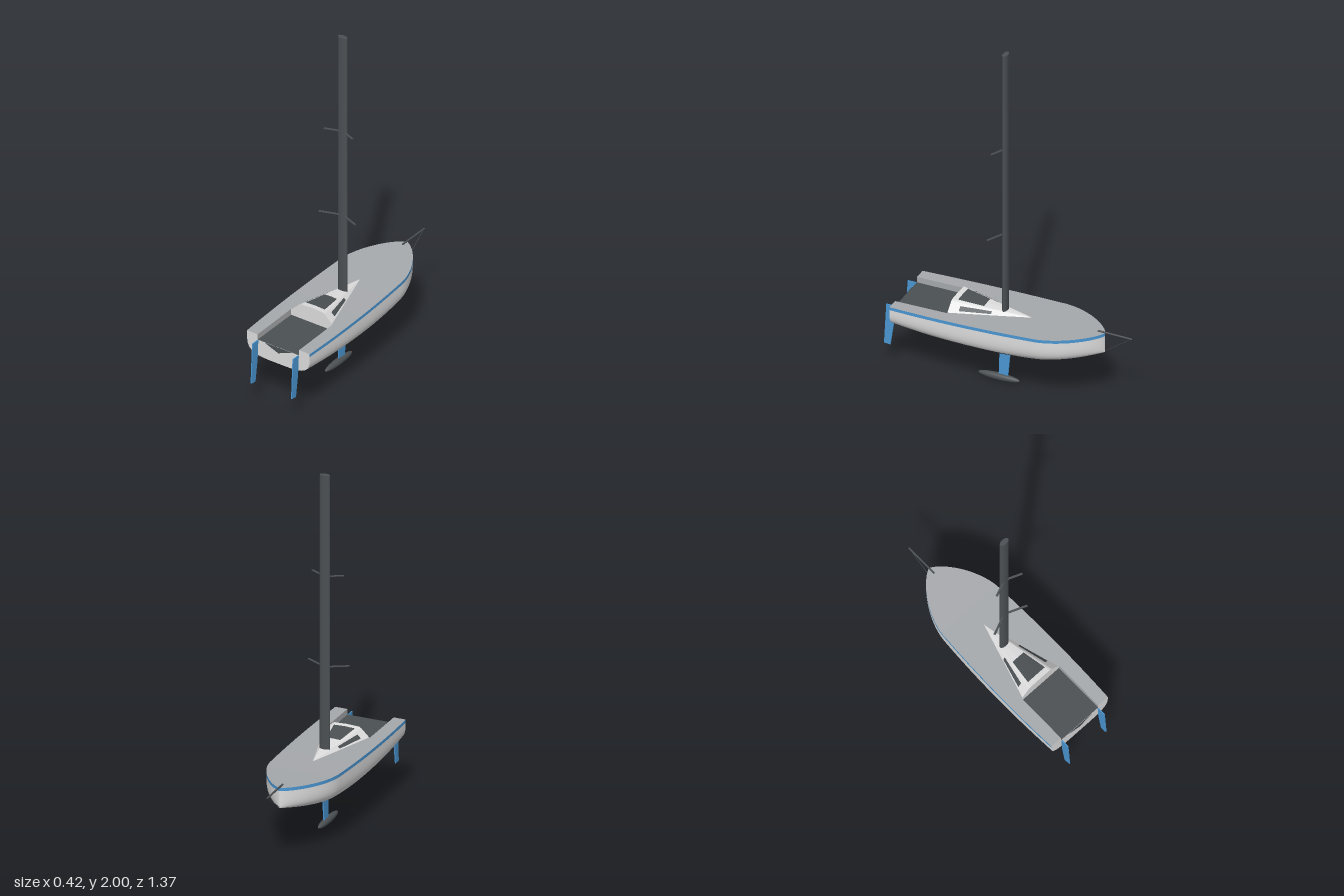
import * as THREE from 'three';

const mat = (name, color) => {
  const m = new THREE.MeshStandardMaterial({ color, side: THREE.DoubleSide });
  m.name = name;
  return m;
};

// Surface from a rule fn(u, v) -> [x, y, z]
function surface(fn, nu, nv) {
  const pos = [], idx = [];
  for (let i = 0; i <= nu; i++) for (let j = 0; j <= nv; j++) pos.push(...fn(i / nu, j / nv));
  for (let i = 0; i < nu; i++) for (let j = 0; j < nv; j++) {
    const a = i * (nv + 1) + j, b = a + nv + 1;
    idx.push(a, b, a + 1, b, b + 1, a + 1);
  }
  const g = new THREE.BufferGeometry();
  g.setAttribute('position', new THREE.Float32BufferAttribute(pos, 3));
  g.setIndex(idx);
  g.computeVertexNormals();
  return g;
}

// Hull lines: stern at +z, bow at -z
const STERN = 0.62, BOW = -0.53, WATER = 0.287, FLOOR = 0.38, PIT = 0.133, PIT_Z = 0.32;
const sheer = z => 0.425 - 0.03 * z + 0.015 * z * z;
const keelLine = z => 0.25 + (z > 0.1 ? 0.11 : 0.2) * (z - 0.1) ** 2;
const beam = z => {
  if (z > -0.2) return 0.2 + 0.01 * (1 - ((z - 0.25) / 0.4) ** 2);
  const u = Math.min(1, (-0.2 - z) / 0.33);
  return 0.1973 * Math.pow(1 - Math.pow(u, 1.7), 0.75);
};
// Section angle at a given height, and the point at that angle
const angleAt = (z, y) => {
  const d = (sheer(z) - y) / (sheer(z) - keelLine(z));
  return Math.asin(Math.min(1, Math.max(0, d)) ** 2);
};
const section = (z, t) => [
  beam(z) * Math.sqrt(Math.max(0, Math.cos(t))),
  sheer(z) - (sheer(z) - keelLine(z)) * Math.sqrt(Math.sin(t)), z];
const along = (from, to, u) => from + (to - from) * Math.sin(u * Math.PI / 2);

export function createModel() {
  const model = new THREE.Group();
  const white = mat('hullWhite', 0xdedede), grey = mat('deckGrey', 0xa6a9ac);
  const blue = mat('blue', 0x4a96d2), carbon = mat('carbon', 0x4b5053);
  const black = mat('bottomBlack', 0x303234);
  const add = (name, geo, material, parent = model) => {
    const m = new THREE.Mesh(geo, material);
    m.name = name;
    parent.add(m);
    return m;
  };
  const rod = (name, a, b, r, material) => add(name,
    new THREE.TubeGeometry(new THREE.LineCurve3(new THREE.Vector3(...a), new THREE.Vector3(...b)), 1, r, 8), material);

  // Hull shell in three bands on each side
  const fore = 0.1 - Math.sqrt((WATER - 0.25) / 0.2);
  const stripeT = z => angleAt(z, sheer(z) - 0.018), waterT = z => angleAt(z, WATER);
  for (const s of [1, -1]) {
    const band = (name, end, t0, t1, rows, material) => add(name, surface((u, v) => {
      const z = along(STERN, end, u), a = t0(z), b = t1(z);
      const p = section(z, a + (b - a) * v);
      return [s * p[0], p[1], p[2]];
    }, 80, rows), material);
    band('sheerStripe', BOW, () => 0, stripeT, 2, blue);
    band('topside', BOW, stripeT, waterT, 24, white);
    band('bottomPaint', fore, waterT, () => Math.PI / 2, 20, black);

    // Side decks and cockpit walls
    add('sideDeck', surface((u, v) => {
      const z = STERN + (PIT_Z - STERN) * u;
      return [s * (PIT + (beam(z) - PIT) * v), sheer(z), z];
    }, 16, 1), grey);
    add('cockpitWall', surface((u, v) => {
      const z = STERN + (PIT_Z - STERN) * u;
      return [s * PIT, FLOOR + (sheer(z) - FLOOR) * v, z];
    }, 8, 1), grey);
  }
  add('foreDeck', surface((u, v) => {
    const z = along(PIT_Z, BOW, u);
    return [beam(z) * (2 * v - 1), sheer(z), z];
  }, 70, 2), grey);

  // Transom with the cockpit cut open at the top
  const outline = [];
  for (let i = 0; i <= 24; i++) outline.push(section(STERN, i / 24 * Math.PI / 2));
  const right = outline.map(p => new THREE.Vector2(p[0], p[1]));
  const left = right.slice(0, -1).reverse().map(p => new THREE.Vector2(-p.x, p.y));
  const top = sheer(STERN);
  const transom = new THREE.Shape([...right, ...left,
    new THREE.Vector2(-PIT, top), new THREE.Vector2(-PIT, FLOOR),
    new THREE.Vector2(PIT, FLOOR), new THREE.Vector2(PIT, top)]);
  add('transom', new THREE.ShapeGeometry(transom), white).position.z = STERN;
  const notch = new THREE.Shape([[-0.09, FLOOR], [0, 0.345], [0.09, FLOOR]].map(p => new THREE.Vector2(...p)));
  add('transomNotch', new THREE.ShapeGeometry(notch), carbon).position.z = STERN + 0.002;

  // Cockpit
  add('cockpitFloor', new THREE.PlaneGeometry(2 * PIT, STERN - PIT_Z).rotateX(-Math.PI / 2), carbon)
    .position.set(0, FLOOR, (STERN + PIT_Z) / 2);
  add('cockpitBulkhead', new THREE.PlaneGeometry(2 * PIT, sheer(PIT_Z) - FLOOR), white)
    .position.set(0, (sheer(PIT_Z) + FLOOR) / 2, PIT_Z);

  // Wedge cabin tapering to a point
  const TIP = -0.11;
  const profile = [[0.128, 0], [0.082, 0.045], [0.07, 0.051], [0, 0.054]];
  const cabin = (z, x, y) => {
    const f = (z - TIP) / (PIT_Z - TIP);
    return [x * f, sheer(z) + y * f, z];
  };
  for (let i = 0; i < 3; i++) for (const s of [1, -1]) {
    const [a, b] = [profile[i], profile[i + 1]];
    add(i ? 'cabinRoof' : 'cabinSide', surface((u, v) => cabin(TIP + (PIT_Z - TIP) * u,
      s * (a[0] + (b[0] - a[0]) * v), a[1] + (b[1] - a[1]) * v), 10, 1), white);
  }
  const full = [...profile, ...profile.slice(0, 3).reverse().map(p => [-p[0], p[1]])];
  add('cabinAftFace', new THREE.ShapeGeometry(new THREE.Shape(full.map(p => new THREE.Vector2(...p)))), white)
    .position.set(0, sheer(PIT_Z), PIT_Z);

  // Cabin windows
  add('roofWindow', surface((u, v) => {
    const x = (2 * v - 1) * 0.065;
    return cabin(0.15 + 0.14 * u, x, 0.0565 - Math.abs(x) * 0.043);
  }, 1, 2), carbon);
  for (const s of [1, -1]) add('sideWindow', surface((u, v) => {
    const k = 0.2 + 0.5 * v;
    return cabin(0.1 + 0.165 * u, s * (0.1305 - 0.046 * k), 0.0025 + 0.045 * k);
  }, 1, 1), carbon);

  // Mast and swept spreaders
  add('mast', new THREE.CylinderGeometry(0.029, 0.029, 1.6, 32).scale(1, 1, 0.5), carbon)
    .position.set(0, 1.2, 0.044);
  for (const [y, reach] of [[0.905, 0.118], [1.42, 0.092]]) for (const s of [1, -1]) {
    const spreader = new THREE.Group();
    spreader.name = 'spreader';
    const len = reach / Math.cos(0.4);
    add('spreaderBlade', new THREE.BoxGeometry(len, 0.004, 0.011).translate(len / 2, 0, 0), carbon, spreader);
    spreader.position.set(0, y, 0.046);
    spreader.rotation.set(0, s > 0 ? -0.4 : Math.PI + 0.4, 0.05);
    model.add(spreader);
  }

  // Bowsprit and bobstay
  rod('bowsprit', [0, 0.449, -0.49], [0, 0.447, -0.684], 0.005, carbon);
  rod('bobstay', [0, 0.446, -0.68], [0, 0.335, -0.53], 0.0012, carbon);

  // Thin foils from side outlines of [z, y]
  const foil = (name, pts, x, t) => {
    const shape = new THREE.Shape(pts.map(p => new THREE.Vector2(-p[0], p[1])));
    const g = new THREE.ExtrudeGeometry(shape, { depth: t, bevelEnabled: false });
    g.translate(0, 0, -t / 2).rotateY(Math.PI / 2);
    add(name, g, blue).position.x = x;
  };
  foil('keelFin', [[0.075, 0.27], [0.083, 0.03], [0.03, 0.03], [0.008, 0.27]], 0, 0.007);
  for (const x of [-0.13, 0.13])
    foil('rudder', [[0.671, 0.38], [0.684, 0.142], [0.647, 0.138], [0.628, 0.27], [0.622, 0.38]], x, 0.006);
  add('keelBulb', new THREE.SphereGeometry(1, 32, 20).scale(0.02, 0.02, 0.12), carbon).position.set(0, 0.02, 0.082);

  return model;
}
